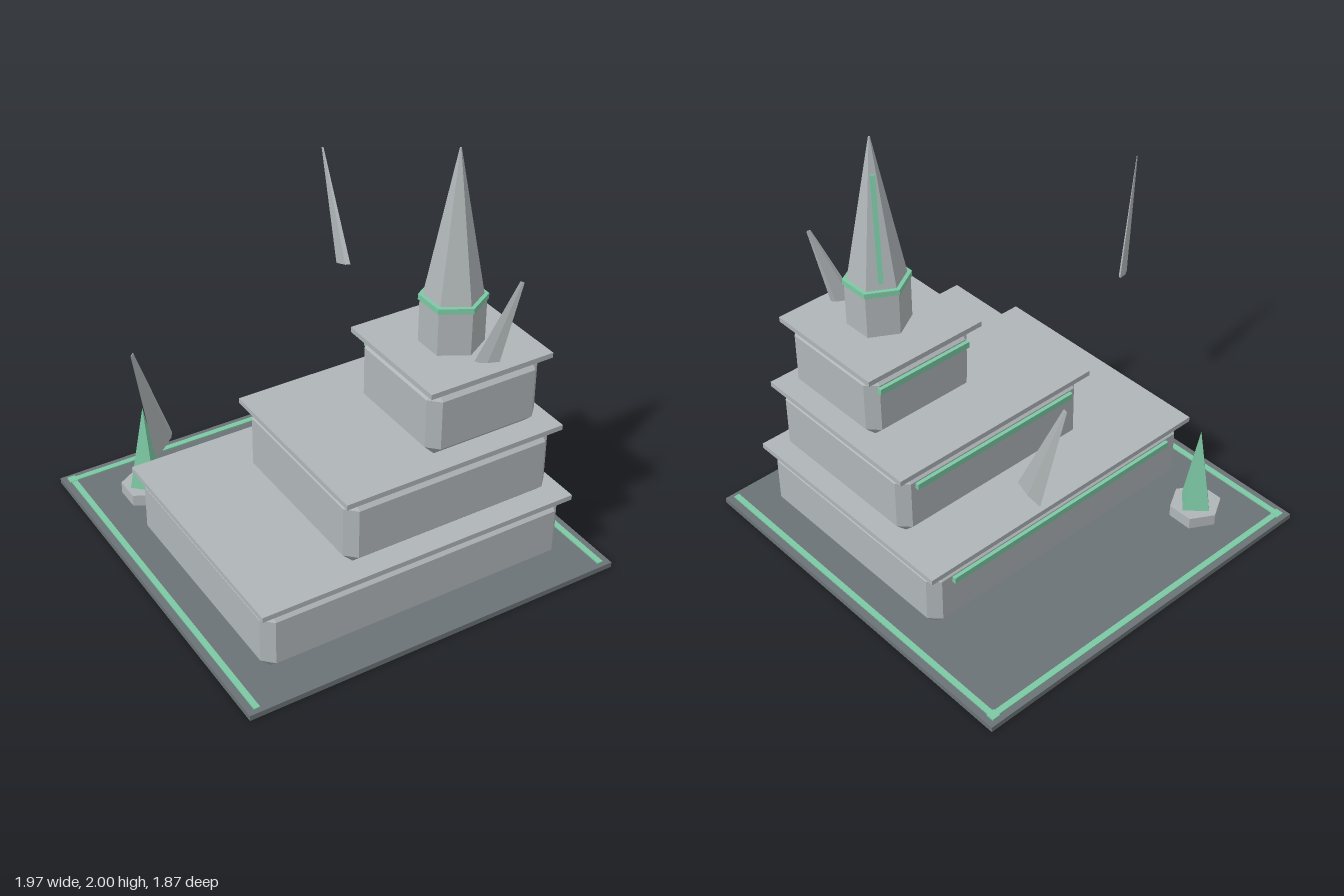
import * as THREE from 'three';
import { ConvexGeometry } from 'three/addons/geometries/ConvexGeometry.js';

const material = (name, color) => {
  const m = new THREE.MeshStandardMaterial({ color });
  m.name = name;
  return m;
};

// Box with flat chamfers on all edges, centred on the origin
function chamferedBox(w, h, d, c) {
  const points = [];
  for (const x of [-w / 2, w / 2])
    for (const y of [-h / 2, h / 2])
      for (const z of [-d / 2, d / 2]) {
        const cx = x - Math.sign(x) * c, cy = y - Math.sign(y) * c, cz = z - Math.sign(z) * c;
        points.push(new THREE.Vector3(x, cy, cz), new THREE.Vector3(cx, y, cz), new THREE.Vector3(cx, cy, z));
      }
  return new ConvexGeometry(points);
}

// Cylinder with flat sides
const prism = (top, bottom, height, sides) => {
  const g = new THREE.CylinderGeometry(top, bottom, height, sides).toNonIndexed();
  g.computeVertexNormals();
  return g;
};

export function createModel() {
  const model = new THREE.Group();
  model.name = 'steppedTower';
  const stone = material('light stone', 0xb0b6b8);
  const dark = material('dark stone', 0x6b7376);
  const green = material('mint glow', 0x7cc8a4);

  const add = (name, geometry, mat, x, y, z) => {
    const mesh = new THREE.Mesh(geometry, mat);
    mesh.name = name;
    mesh.position.set(x, y, z);
    model.add(mesh);
    return mesh;
  };
  // Box given by its limits on each axis
  const block = (name, mat, [x0, x1], [y0, y1], [z0, z1]) =>
    add(name, new THREE.BoxGeometry(x1 - x0, y1 - y0, z1 - z0), mat, (x0 + x1) / 2, (y0 + y1) / 2, (z0 + z1) / 2);

  // Ground plate with inlaid border
  block('basePlate', dark, [-0.882, 0.985], [0, 0.026], [-0.935, 0.932]);
  block('backBorder', green, [-0.855, 0.955], [0.02, 0.032], [-0.905, -0.876]);
  for (const x of [-0.836, 0.938]) {
    block('sideBorder', green, [x - 0.014, x + 0.014], [0.02, 0.032], [-0.905, 0.91]);
    block('borderCorner', green, [x - 0.02, x + 0.02], [0.02, 0.034], [-0.912, -0.872]);
  }

  // Three stepped tiers, each with a roof slab and a light bar on the back
  const tiers = [
    { x: [-0.712, 0.815], y: [0.028, 0.345], z: [-0.382, 0.768] },
    { x: [-0.282, 0.768], y: [0.37, 0.71], z: [-0.142, 0.718] },
    { x: [0.148, 0.72], y: [0.735, 1.07], z: [0.098, 0.67] },
  ];
  for (const { x, y, z } of tiers) {
    const w = x[1] - x[0], h = y[1] - y[0], d = z[1] - z[0];
    const cx = (x[0] + x[1]) / 2;
    add('tier', chamferedBox(w, h, d, 0.049), stone, cx, (y[0] + y[1]) / 2, (z[0] + z[1]) / 2);
    block('roofSlab', stone, [x[0] - 0.024, x[1] + 0.024], [y[1], y[1] + 0.025], [z[0] - 0.024, z[1] + 0.02]);
    const barY = y[1] - 0.07;
    block('lightBar', green, [cx - 0.43 * w, cx + 0.43 * w],
      [barY - 0.015, barY + 0.015], [z[0] - 0.018, z[0] + 0.005]);
  }

  // Hexagonal spire
  const sx = 0.434, sz = 0.385;
  add('spireColumn', prism(0.143, 0.143, 0.21, 6), stone, sx, 1.198, sz);
  add('spireBand', prism(0.15, 0.15, 0.026, 6), green, sx, 1.313, sz);
  add('spireRoof', prism(0.004, 0.13, 0.675, 6), stone, sx, 1.6625, sz);

  // Glowing strip lying on one sloping face of the spire
  const place = (mesh, bottom, top, out) => {
    const up = top.clone().sub(bottom).normalize();
    const side = up.clone().cross(out).normalize();
    mesh.quaternion.setFromRotationMatrix(new THREE.Matrix4().makeBasis(side, up, side.clone().cross(up)));
    mesh.position.copy(bottom).add(top).multiplyScalar(0.5);
  };
  const out = new THREE.Vector3(0.5, 0, -0.866);
  const onFace = (r, y) => new THREE.Vector3(sx, y, sz).addScaledVector(out, r);
  const stripBottom = onFace(0.111, 1.36), stripTop = onFace(0.031, 1.84);
  const strip = add('spireStrip',
    new THREE.BoxGeometry(0.022, stripBottom.distanceTo(stripTop), 0.018), green, 0, 0, 0);
  place(strip, stripBottom, stripTop, out);

  // Small beacon behind the tiers
  add('beaconBase', prism(0.122, 0.122, 0.058, 6), stone, -0.57, 0.055, -0.62);
  add('beacon', prism(0.001, 0.086, 0.424, 4), green, -0.57, 0.294, -0.62);

  // Thin floating shards: bottom centre, top centre, bottom radius
  const shards = [
    [[-0.82, 0.863, 0.138], [-0.978, 1.403, 0.229], 0.071],
    [[0.572, 0.898, -0.711], [0.572, 1.438, -0.9], 0.072],
    [[0.46, 1.085, 0.602], [0.573, 1.477, 0.662], 0.056],
  ];
  for (const [b, t, r] of shards) {
    const bottom = new THREE.Vector3(...b), top = new THREE.Vector3(...t);
    const geometry = new THREE.CylinderGeometry(0.01, r, bottom.distanceTo(top), 5).toNonIndexed();
    geometry.scale(1, 1, 0.17);
    geometry.computeVertexNormals();
    const lean = top.clone().sub(bottom);
    const shard = add('shard', geometry, stone, 0, 0, 0);
    place(shard, bottom, top, new THREE.Vector3(-lean.z, 0, lean.x));
  }
  return model;
}
